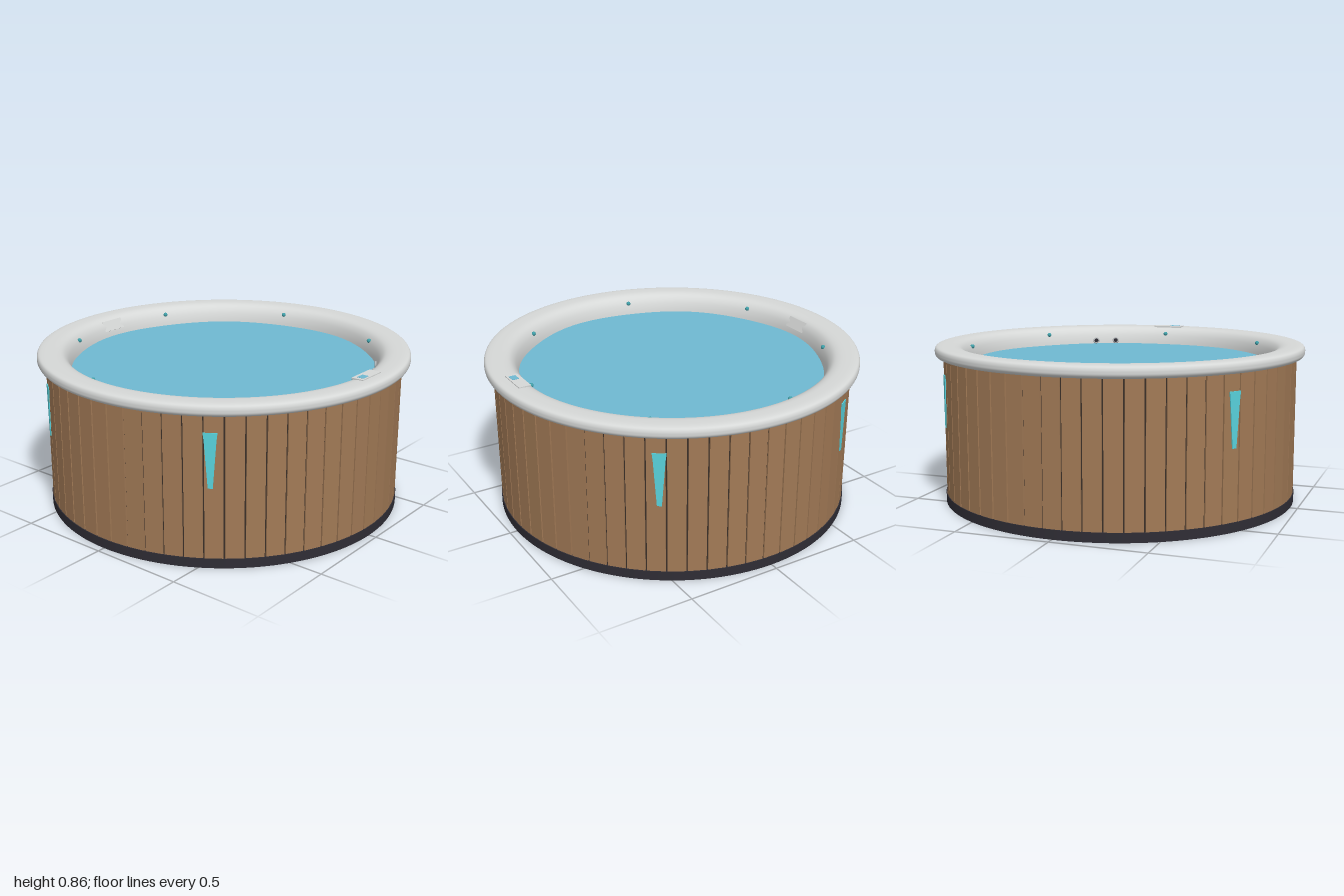
import * as THREE from 'three';

const material = (name, color, side = THREE.FrontSide) => {
  const m = new THREE.MeshStandardMaterial({ color, side });
  m.name = name;
  return m;
};

export function createModel() {
  const wood = material('wood', 0xa27a56);
  const seam = material('dark seam', 0x3a2f28);
  const plastic = material('charcoal plastic', 0x2f2d35);
  const acrylic = material('pale acrylic', 0xd6d8d7, THREE.DoubleSide);
  const waterBlue = material('water blue', 0x6fb9d2);
  const lightCyan = material('light cyan', 0x58d2dc);
  const teal = material('jet teal', 0x3f9fa8);
  const chrome = material('chrome', 0xb4b8ba);

  const tub = new THREE.Group();
  tub.name = 'hotTub';

  const add = (name, geometry, mat, parent = tub) => {
    const mesh = new THREE.Mesh(geometry, mat);
    mesh.name = name;
    parent.add(mesh);
    return mesh;
  };
  // Group whose +z points outward at an angle measured from the front
  const radial = (name, angle, radius, y) => {
    const g = new THREE.Group();
    g.name = name;
    g.position.set(Math.sin(angle) * radius, y, Math.cos(angle) * radius);
    g.rotation.y = angle;
    tub.add(g);
    return g;
  };
  const lathe = (points, segments = 128) =>
    new THREE.LatheGeometry(points.map(([r, y]) => new THREE.Vector2(r, y)), segments);
  const deg = THREE.MathUtils.degToRad;

  // Base tray
  add('base', new THREE.CylinderGeometry(0.96, 0.96, 0.05, 128), plastic).position.y = 0.025;

  // Dark core seen between the staves
  add('core', new THREE.CylinderGeometry(0.946, 0.946, 0.74, 120, 1, true), seam).position.y = 0.42;

  // Wooden staves
  const staveCount = 60;
  const staveGeometry = new THREE.BoxGeometry(0.092, 0.735, 0.02);
  for (let i = 0; i < staveCount; i++) {
    const g = radial('stave' + i, (i / staveCount) * Math.PI * 2, 0.945, 0.4175);
    add('stavePlank', staveGeometry, wood, g);
  }

  // Tapered corner lights
  const lightShape = new THREE.Shape([
    [-0.012, 0.42], [0.012, 0.42], [0.03, 0.66], [0.035, 0.7], [-0.035, 0.7], [-0.03, 0.66],
  ].map(([x, y]) => new THREE.Vector2(x, y)));
  const lightGeometry = new THREE.ExtrudeGeometry(lightShape, { depth: 0.008, bevelEnabled: false });
  for (const a of [55, 125, 235, 305]) {
    add('lightPlate', lightGeometry, lightCyan, radial('cornerLight', deg(a), 0.952, 0));
  }

  // Rim and upper shell: rounded outer lip, gently crowned top, steep inner wall
  const outline = new THREE.CatmullRomCurve3([
    [0.94, 0.785], [0.965, 0.786], [0.988, 0.792], [0.999, 0.806], [1, 0.825], [0.993, 0.842],
    [0.975, 0.849], [0.93, 0.851], [0.89, 0.848], [0.862, 0.837], [0.842, 0.815],
    [0.829, 0.785], [0.821, 0.75], [0.815, 0.7],
  ].map(([r, y]) => new THREE.Vector3(r, y, 0)));
  const shell = lathe(outline.getPoints(52).map((p) => [Math.min(p.x, 1), p.y]), 168);
  // Inner wall swells slightly toward the water at each of the seven jets
  const pos = shell.attributes.position;
  for (let i = 0; i < pos.count; i++) {
    const x = pos.getX(i), z = pos.getZ(i), r = Math.hypot(x, z);
    if (r > 0.87) continue;
    const depth = THREE.MathUtils.smoothstep(0.87 - r, 0, 0.05);
    const k = 1 - 0.007 * depth * (1 + Math.cos(7 * Math.atan2(x, z)));
    pos.setX(i, x * k);
    pos.setZ(i, z * k);
  }
  add('rim', shell, acrylic);

  // Water surface, its edge tucked behind the shell
  const water = add('water', new THREE.CircleGeometry(0.825, 128), waterBlue);
  water.rotation.x = -Math.PI / 2;
  water.position.y = 0.75;

  // Seven small jets around the inner wall
  const jetGeometry = new THREE.SphereGeometry(0.012, 16, 10);
  for (let i = 0; i < 7; i++) {
    add('jetButton', jetGeometry, teal, radial('jet', (i / 7) * Math.PI * 2, 0.828, 0.812));
  }

  // Two air nozzles low on the front wall
  for (const a of [21.8, 30.3]) {
    const nozzle = radial('nozzle', deg(a), 0.816, 0.768);
    add('nozzleRing', new THREE.TorusGeometry(0.014, 0.005, 10, 24), chrome, nozzle);
    const hub = add('nozzleHub', new THREE.CylinderGeometry(0.012, 0.012, 0.008, 24), plastic, nozzle);
    hub.rotation.x = Math.PI / 2;
  }

  // Headrest leaning on the back wall
  const headrest = radial('headrest', Math.PI, 0.843, 0.807);
  headrest.rotation.order = 'YXZ';
  headrest.rotation.x = 0.5;
  add('headrestPad', new THREE.BoxGeometry(0.15, 0.06, 0.014), acrylic, headrest);

  // Control panel on the front rim
  const panel = new THREE.Group();
  panel.name = 'controlPanel';
  panel.position.set(0, 0.851, 0.898);
  tub.add(panel);
  add('panelPlate', new THREE.BoxGeometry(0.17, 0.009, 0.065), acrylic, panel);
  add('panelScreen', new THREE.BoxGeometry(0.05, 0.002, 0.036), waterBlue, panel)
    .position.set(-0.04, 0.005, 0.004);

  return tub;
}
